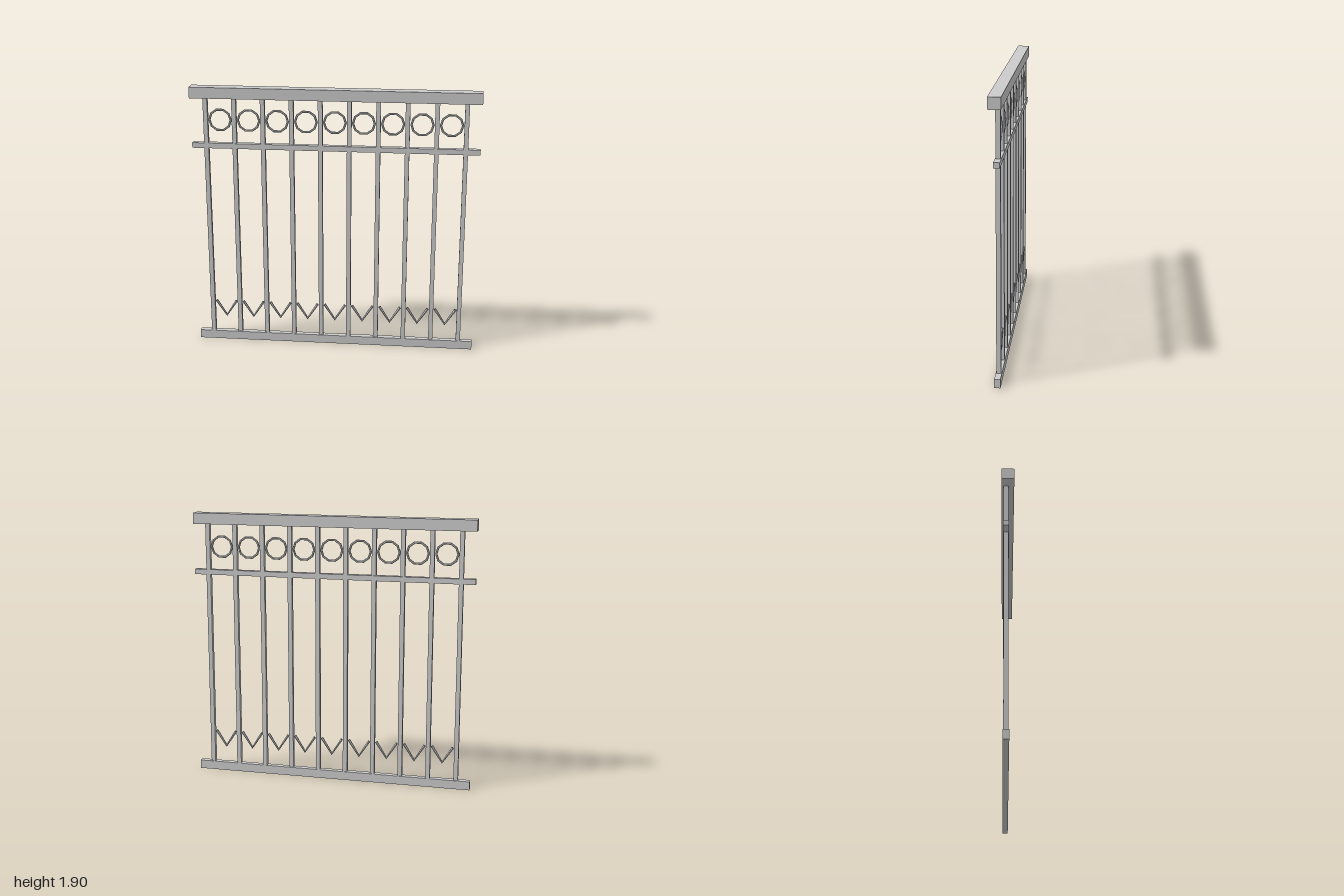
import * as THREE from 'three';

const PLANE_Z = -0.013; // bars sit slightly behind the centre of the handrail

export function createModel() {
  const group = new THREE.Group();
  const material = new THREE.MeshStandardMaterial({ color: 0xcccccc, flatShading: true });
  const openMaterial = new THREE.MeshStandardMaterial({ color: 0xcccccc, flatShading: true, side: THREE.DoubleSide });

  const add = (name, geometry, x, y, z, mat = material) => {
    const mesh = new THREE.Mesh(geometry, mat);
    mesh.name = name;
    mesh.position.set(x, y, z);
    group.add(mesh);
  };

  // Horizontal rails
  const rail = (name, y0, y1, depth, z) =>
    add(name, new THREE.BoxGeometry(2, y1 - y0, depth), 0, (y0 + y1) / 2, z);
  rail('handrail', 1.823, 1.9, 0.084, 0);
  rail('middleRail', 1.463, 1.5, 0.04, PLANE_Z);
  rail('bottomRail', 0, 0.062, 0.04, PLANE_Z);

  // Upright balusters
  const balusterGeometry = new THREE.BoxGeometry(0.031, 1.79, 0.031);
  for (let i = 0; i < 10; i++) {
    add('baluster', balusterGeometry, -0.9 + i * 0.2, 0.945, PLANE_Z);
  }

  // Ten-sided rings above and bent V rods below, one per gap
  const ringGeometry = new THREE.TorusGeometry(0.075, 0.008, 6, 10);
  const bend = new THREE.CatmullRomCurve3([
    new THREE.Vector3(-0.074, 0.3, 0),
    new THREE.Vector3(0, 0.185, 0),
    new THREE.Vector3(0.074, 0.3, 0),
  ]);
  const rodGeometry = new THREE.TubeGeometry(bend, 2, 0.01, 6, false);
  for (let i = 0; i < 9; i++) {
    const x = -0.8 + i * 0.2;
    add('ring', ringGeometry, x, 1.663, PLANE_Z);
    add('bentRod', rodGeometry, x, 0, PLANE_Z, openMaterial);
  }

  return group;
}
